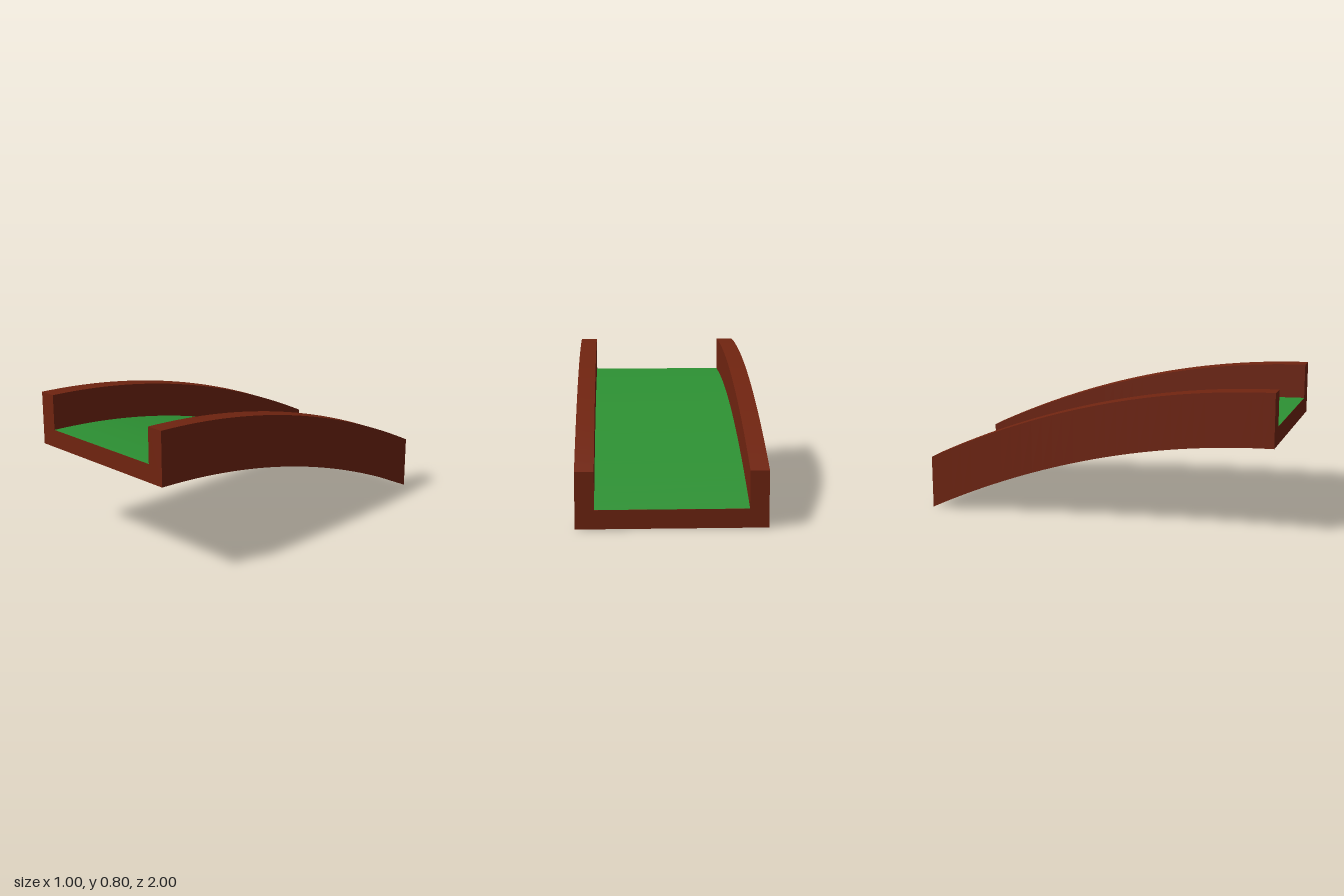
import * as THREE from 'three';
import { toCreasedNormals } from 'three/addons/utils/BufferGeometryUtils.js';

const STEPS = 32;

// Height of the underside along the ramp: level at the front, falling to the back
const rise = (z) => 0.367 + 0.25 * z - 0.117 * z * z;

// Lifts every vertex by the ramp height at its z
function bend(geometry) {
  const p = geometry.attributes.position;
  for (let i = 0; i < p.count; i++) p.setY(i, p.getY(i) + rise(p.getZ(i)));
  return toCreasedNormals(geometry, 0.5);
}

export function createModel() {
  const model = new THREE.Group();
  model.name = 'curvedRamp';
  const add = (name, geometry, color) => {
    const mesh = new THREE.Mesh(bend(geometry), new THREE.MeshStandardMaterial({ color }));
    mesh.name = name;
    model.add(mesh);
  };

  // U-shaped channel: base slab with a wall on each side
  const section = new THREE.Shape([
    [-0.5, 0], [0.5, 0], [0.5, 0.3], [0.4, 0.3],
    [0.4, 0.1], [-0.4, 0.1], [-0.4, 0.3], [-0.5, 0.3],
  ].map(([x, y]) => new THREE.Vector2(x, y)));
  const channel = new THREE.ExtrudeGeometry(section, { depth: 2, steps: STEPS, bevelEnabled: false });
  add('channel', channel.translate(0, 0, -1), 0x702410);

  // Green running surface laid on the channel floor
  const floor = new THREE.PlaneGeometry(0.8, 2, 1, STEPS).rotateX(-Math.PI / 2);
  add('greenSurface', floor.translate(0, 0.101, 0), 0x2d9133);

  return model;
}
